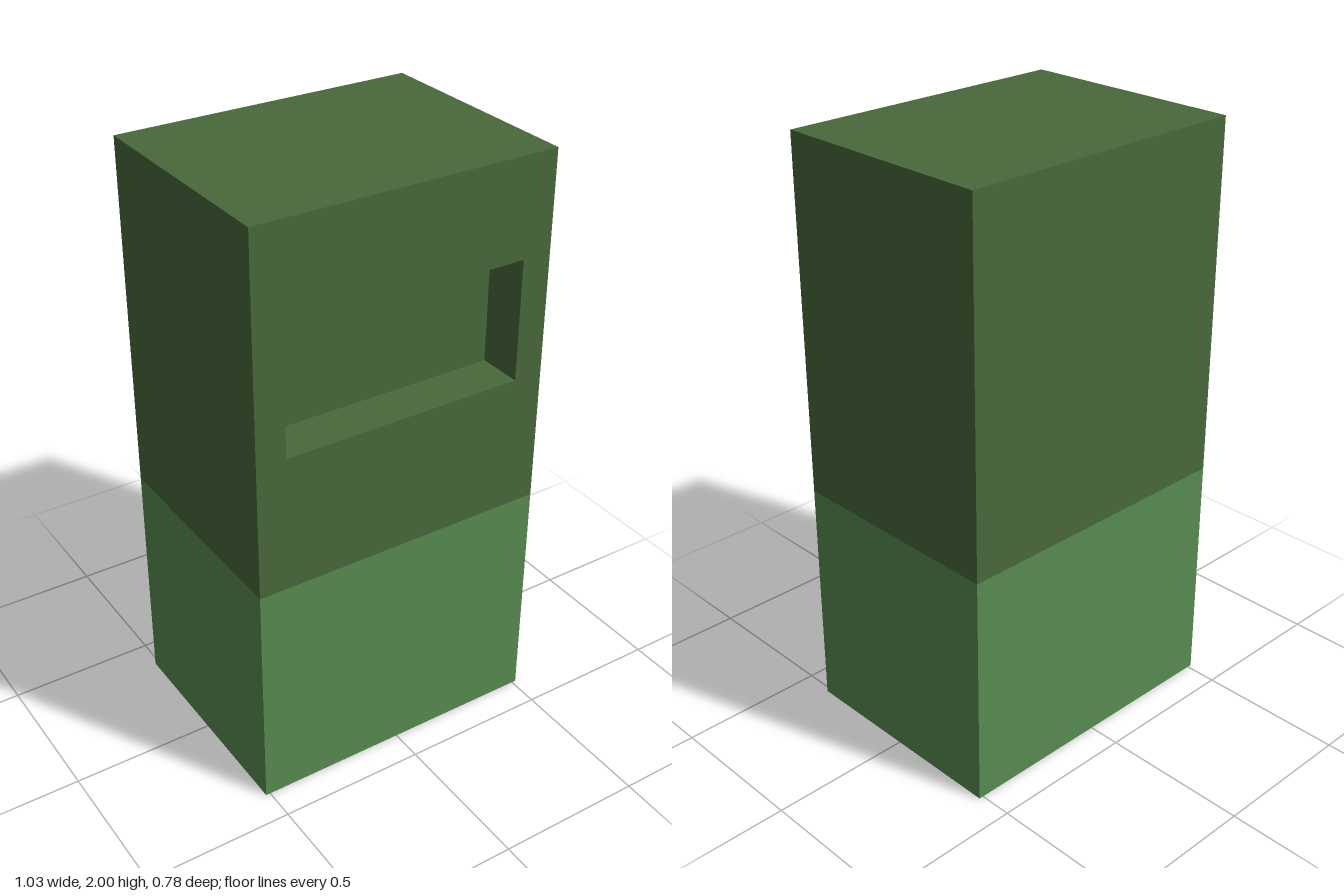
import * as THREE from 'three';

const W = 1.03, D = 0.78, H = 2, SPLIT = 0.8;
const NICHE = { x: 0.415, y0: 1.26, y1: 1.67, depth: 0.155 };

export function createModel() {
  const model = new THREE.Group();
  const paint = (name, color) => {
    const m = new THREE.MeshStandardMaterial({ color, side: THREE.DoubleSide });
    m.name = name;
    return m;
  };
  const dark = paint('dark green', 0x48683b);
  const light = paint('light green', 0x588b50);

  // One thin flat panel, turned about x and y and put in place
  const panel = (name, material, w, h, pos, rx = 0, ry = 0) => {
    const mesh = new THREE.Mesh(new THREE.PlaneGeometry(w, h), material);
    mesh.name = name;
    mesh.position.set(...pos);
    mesh.rotation.set(rx, ry, 0);
    model.add(mesh);
  };

  // Side and back walls of the two colour bands
  for (const [band, mat, y0, y1] of [['lower', light, 0, SPLIT], ['upper', dark, SPLIT, H]]) {
    const h = y1 - y0, y = (y0 + y1) / 2;
    panel(band + 'LeftWall', mat, D, h, [W / 2, y, 0], 0, Math.PI / 2);
    panel(band + 'RightWall', mat, D, h, [-W / 2, y, 0], 0, -Math.PI / 2);
    panel(band + 'BackWall', mat, W, h, [0, y, -D / 2], 0, Math.PI);
  }
  panel('lowerFrontWall', light, W, SPLIT, [0, SPLIT / 2, D / 2]);
  panel('roof', dark, W, D, [0, H, 0], -Math.PI / 2);

  // Upper front wall with the opening of the niche
  const rect = (target, x, y0, y1) =>
    target.moveTo(-x, y0).lineTo(x, y0).lineTo(x, y1).lineTo(-x, y1).closePath();
  const face = rect(new THREE.Shape(), W / 2, SPLIT, H);
  face.holes.push(rect(new THREE.Path(), NICHE.x, NICHE.y0, NICHE.y1));
  const front = new THREE.Mesh(new THREE.ShapeGeometry(face), dark);
  front.name = 'upperFrontWall';
  front.position.z = D / 2;
  model.add(front);

  // Niche lining: back, floor, ceiling and two cheeks
  const { x, y0, y1, depth } = NICHE;
  const h = y1 - y0, y = (y0 + y1) / 2, z = D / 2 - depth / 2;
  panel('nicheBack', dark, 2 * x, h, [0, y, D / 2 - depth]);
  panel('nicheFloor', dark, 2 * x, depth, [0, y0, z], -Math.PI / 2);
  panel('nicheCeiling', dark, 2 * x, depth, [0, y1, z], Math.PI / 2);
  panel('nicheLeftCheek', dark, depth, h, [x, y, z], 0, -Math.PI / 2);
  panel('nicheRightCheek', dark, depth, h, [-x, y, z], 0, Math.PI / 2);

  return model;
}
